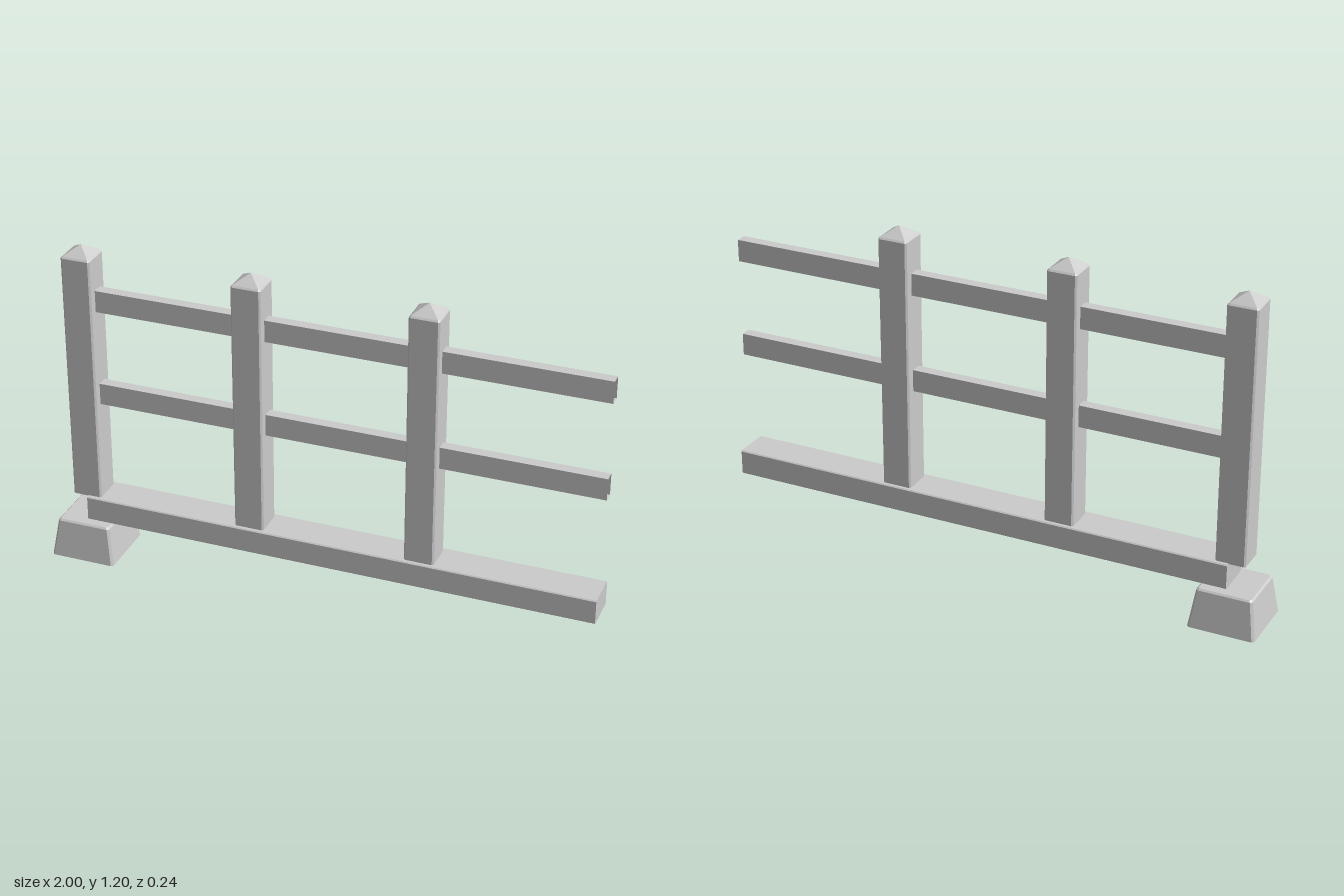
import * as THREE from 'three';

const material = new THREE.MeshStandardMaterial({ color: 0xcccccc, flatShading: true, side: THREE.DoubleSide });

// Rectangular ring with chamfered corners, counter-clockwise seen from above
function ring({ y, hx, hz = hx, c }) {
  return [
    [hx, hz - c], [hx, c - hz], [hx - c, -hz], [c - hx, -hz],
    [-hx, c - hz], [-hx, hz - c], [c - hx, hz], [hx - c, hz],
  ].map(([x, z]) => [x, y, z]);
}

// Skin rings from bottom to top; end caps are fans to a centre point
function loft(levels, topY = null, bottomY = null) {
  const rings = levels.map(ring);
  const last = rings[rings.length - 1];
  const pos = [];
  const tri = (...pts) => pts.forEach((p) => pos.push(...p));
  for (let i = 0; i < 8; i++) {
    const j = (i + 1) % 8;
    for (let k = 0; k + 1 < rings.length; k++) {
      const lo = rings[k], up = rings[k + 1];
      tri(lo[i], lo[j], up[j]);
      tri(lo[i], up[j], up[i]);
    }
    if (topY !== null) tri(last[i], last[j], [0, topY, 0]);
    if (bottomY !== null) tri(rings[0][j], rings[0][i], [0, bottomY, 0]);
  }
  const geo = new THREE.BufferGeometry();
  geo.setAttribute('position', new THREE.Float32BufferAttribute(pos, 3));
  geo.computeVertexNormals();
  return geo;
}

export function createModel() {
  const model = new THREE.Group();
  model.name = 'fenceSection';
  const add = (name, geo, x, y = 0) => {
    const mesh = new THREE.Mesh(geo, material);
    mesh.name = name;
    mesh.position.set(x, y, 0);
    model.add(mesh);
  };

  // Tapered footing, open underneath
  add('footing', loft([
    { y: 0, hx: 0.12, c: 0.008 },
    { y: 0.136, hx: 0.1, c: 0.008 },
    { y: 0.142, hx: 0.094, c: 0.006 },
  ], 0.142), -0.88);

  // Bottom beam, lofted along its length
  const beam = loft([
    { y: -0.875, hx: 0.046, hz: 0.068, c: 0.004 },
    { y: 1, hx: 0.046, hz: 0.068, c: 0.004 },
  ], 1, -0.875);
  beam.rotateZ(-Math.PI / 2);
  add('bottomBeam', beam, 0, 0.191);

  // Posts with pyramid tops
  const postX = [-0.88, -0.255, 0.37];
  const half = 0.054;
  const post = loft([
    { y: 0.235, hx: half, c: 0.006 },
    { y: 1.157, hx: half, c: 0.006 },
    { y: 1.163, hx: half - 0.005, c: 0.003 },
  ], 1.196, 0.235);
  postX.forEach((x) => add('post', post, x));

  // Hollow rails between the posts, open at their ends
  const railShape = [[-0.02, -0.04], [0.02, -0.04], [0.02, 0.04], [-0.02, 0.04]];
  postX.forEach((x, i) => {
    const start = x + half;
    const end = i < 2 ? postX[i + 1] - half : 1;
    const pos = [];
    railShape.forEach(([z, y], k) => {
      const [z2, y2] = railShape[(k + 1) % 4];
      const a = [start, y, z], b = [start, y2, z2], c = [end, y2, z2], d = [end, y, z];
      pos.push(...a, ...c, ...b, ...a, ...d, ...c);
    });
    const rail = new THREE.BufferGeometry();
    rail.setAttribute('position', new THREE.Float32BufferAttribute(pos, 3));
    // Outward winding: mirror the loop direction
    for (let t = 0; t < pos.length / 9; t++) {
      const p = rail.attributes.position;
      const v1 = new THREE.Vector3().fromBufferAttribute(p, t * 3);
      const v2 = new THREE.Vector3().fromBufferAttribute(p, t * 3 + 1);
      const v3 = new THREE.Vector3().fromBufferAttribute(p, t * 3 + 2);
      const n = v2.clone().sub(v1).cross(v3.clone().sub(v1));
      if (n.y * v1.y + n.z * v1.z < 0) {
        p.setXYZ(t * 3 + 1, v3.x, v3.y, v3.z);
        p.setXYZ(t * 3 + 2, v2.x, v2.y, v2.z);
      }
    }
    rail.computeVertexNormals();
    add('upperRail', rail, 0, 0.998);
    add('middleRail', rail, 0, 0.64);
  });

  return model;
}
